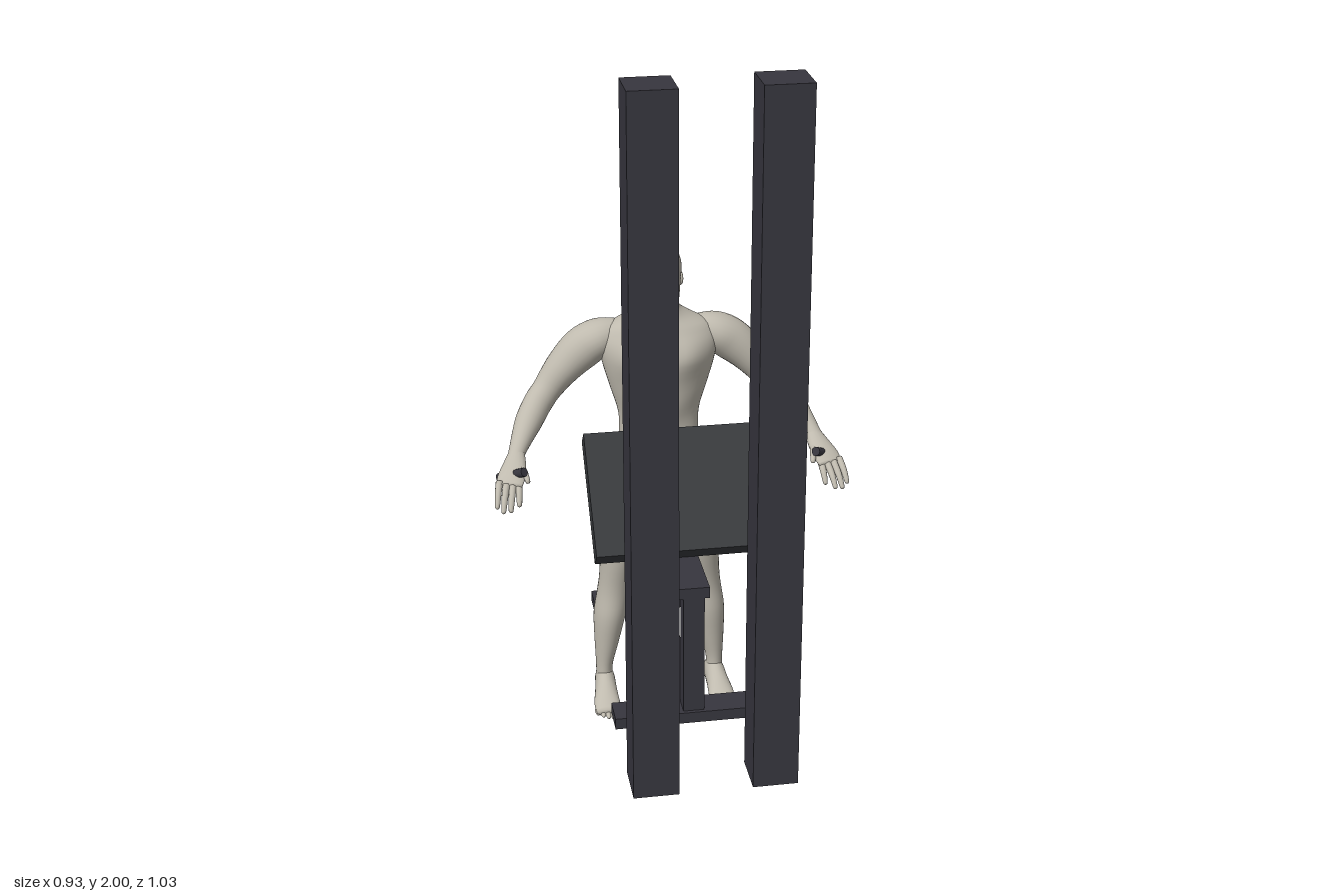
import * as THREE from 'three';

const V = (x, y, z) => new THREE.Vector3(x, y, z);
const mat = (name, color, side = THREE.FrontSide) => {
  const m = new THREE.MeshStandardMaterial({ color, side });
  m.name = name;
  return m;
};

// Smooth skin through stations [x, y, z, widthRadius, depthRadius].
// level: rings stay horizontal; otherwise they follow the path.
function loft(stations, { level = false, n = 24, steps = 4, shape = null } = {}) {
  const path = new THREE.CatmullRomCurve3(stations.map(s => V(s[0], s[1], s[2])));
  const size = new THREE.CatmullRomCurve3(stations.map((s, i) => V(s[3], s[4], i * 0.05)));
  const rows = (stations.length - 1) * steps;
  const pos = [], index = [];
  const add = p => { if (shape) shape(p); pos.push(p.x, p.y, p.z); };
  for (let i = 0; i <= rows; i++) {
    const c = path.getPoint(i / rows), r = size.getPoint(i / rows);
    const t = level ? V(0, 1, 0) : path.getTangent(i / rows);
    const u = level ? V(1, 0, 0) : V(0, 1, 0).cross(t).normalize();
    const v = t.clone().cross(u);
    for (let j = 0; j < n; j++) {
      const a = j / n * Math.PI * 2;
      add(c.clone().addScaledVector(u, Math.cos(a) * Math.max(r.x, 0.001))
        .addScaledVector(v, Math.sin(a) * Math.max(r.y, 0.001)));
    }
  }
  for (let i = 0; i < rows; i++) for (let j = 0; j < n; j++) {
    const a = i * n + j, b = i * n + (j + 1) % n;
    index.push(a, b, b + n, a, b + n, a + n);
  }
  add(path.getPoint(0));
  add(path.getPoint(1));
  const c0 = (rows + 1) * n, last = rows * n;
  for (let j = 0; j < n; j++) {
    const k = (j + 1) % n;
    index.push(c0, k, j, c0 + 1, last + j, last + k);
  }
  const g = new THREE.BufferGeometry();
  g.setAttribute('position', new THREE.Float32BufferAttribute(pos, 3));
  g.setIndex(index);
  g.computeVertexNormals();
  return g;
}

// Soft muscle and face relief: each bump [x, y, z, radius, dz] is mirrored in x
const relief = bumps => p => {
  let dz = 0;
  for (const [x, y, z, r, d] of bumps) {
    for (const s of x ? [1, -1] : [1]) dz += d * Math.exp(-p.distanceToSquared(V(x * s, y, z)) / (r * r));
  }
  p.z += dz;
};

export function createModel() {
  const model = new THREE.Group();
  model.name = 'exerciseMachineWithMan';
  const frame = mat('frame dark grey', 0x37363e);
  const padMat = mat('pad charcoal', 0x383a3d);
  const cloth = mat('shorts dark', 0x2d2d33);
  const skin = mat('skin pale grey', 0xbfbaae);
  const wheelMat = mat('pulley light grey', 0xc8c4b8);

  const put = (parent, name, geo, m) => {
    const mesh = new THREE.Mesh(geo, m);
    mesh.name = name;
    parent.add(mesh);
    return mesh;
  };
  // Box from its limits on each axis
  const box = (parent, name, m, x0, x1, y0, y1, z0, z1) => {
    const b = put(parent, name, new THREE.BoxGeometry(x1 - x0, y1 - y0, z1 - z0), m);
    b.position.set((x0 + x1) / 2, (y0 + y1) / 2, (z0 + z1) / 2);
    return b;
  };
  const rod = (parent, name, m, a, b, r) => {
    const c = put(parent, name, new THREE.CylinderGeometry(r, r, a.distanceTo(b), 12), m);
    c.position.copy(a).lerp(b, 0.5);
    c.quaternion.setFromUnitVectors(V(0, 1, 0), b.clone().sub(a).normalize());
    return c;
  };
  const ball = (parent, name, m, p, rx, ry, rz) => {
    const b = put(parent, name, new THREE.SphereGeometry(1, 14, 10), m);
    b.position.set(...p);
    b.scale.set(rx, ry, rz);
    return b;
  };

  // Bench frame
  const bench = new THREE.Group();
  bench.name = 'bench';
  model.add(bench);
  box(bench, 'baseBeam', frame, -0.027, 0.027, 0.251, 0.279, -0.515, 0.15);
  box(bench, 'frontFoot', frame, -0.204, 0.204, 0.25, 0.28, 0.12, 0.2);
  box(bench, 'rearFoot', frame, -0.18, 0.18, 0.25, 0.28, -0.482, -0.4);
  box(bench, 'frontPost', frame, -0.027, 0.027, 0.28, 0.61, 0.14, 0.19);
  box(bench, 'padArm', frame, -0.04, 0.04, 0.605, 0.635, 0.01, 0.19);
  box(bench, 'seatPost', frame, -0.027, 0.027, 0.28, 0.61, -0.42, -0.37);
  box(bench, 'seat', frame, -0.13, 0.13, 0.61, 0.67, -0.508, -0.265);
  const pad = put(bench, 'slopedPad', new THREE.BoxGeometry(0.456, 0.335, 0.058), padMat);
  pad.position.set(0, 0.773, -0.078);
  pad.rotation.x = -Math.PI / 4;

  // Towers and pulleys
  for (const s of [1, -1]) {
    const tower = new THREE.Group();
    tower.name = s > 0 ? 'leftTower' : 'rightTower';
    model.add(tower);
    box(tower, 'column', frame, s * 0.147 - 0.056, s * 0.147 + 0.056, 0.25, 2, 0.4, 0.512);
    for (const e of [1, -1]) {
      const x = s * 0.147 + e * 0.0135;
      box(tower, 'pulleyBracket', frame, x - 0.0025, x + 0.0025, 0.458, 0.495, 0.34, 0.402);
    }
    const wheel = put(tower, 'pulleyWheel', new THREE.CylinderGeometry(0.036, 0.036, 0.02, 28), wheelMat);
    wheel.rotation.z = Math.PI / 2;
    wheel.position.set(s * 0.147, 0.477, 0.36);
  }
  rod(model, 'cable', frame, V(0.147, 0.505, 0.338), V(0.147, 0.635, 0.155), 0.002);
  rod(model, 'cableEnd', frame, V(0.147, 0.625, 0.15), V(0.147, 0.642, 0.16), 0.004);

  // Torso and neck
  const man = new THREE.Group();
  man.name = 'man';
  model.add(man);
  put(man, 'torso', loft([
    [0, 0.76, -0.375, 0.115, 0.075], [0, 0.82, -0.378, 0.108, 0.068], [0, 0.88, -0.381, 0.11, 0.068],
    [0, 0.95, -0.38, 0.13, 0.077], [0, 1.03, -0.38, 0.152, 0.082], [0, 1.08, -0.385, 0.158, 0.078],
    [0, 1.12, -0.392, 0.14, 0.066], [0, 1.148, -0.395, 0.09, 0.054], [0, 1.172, -0.39, 0.058, 0.049],
    [0, 1.21, -0.375, 0.05, 0.047], [0, 1.24, -0.365, 0.046, 0.044],
  ], {
    level: true, n: 48, shape: relief([
      [0.07, 1.05, -0.305, 0.05, 0.016], [0, 1.05, -0.29, 0.022, -0.008], [0.035, 0.9, -0.31, 0.04, 0.006],
      [0.075, 1.06, -0.455, 0.055, -0.013], [0, 0.95, -0.46, 0.03, 0.009], [0, 1.05, -0.465, 0.03, 0.007],
    ]),
  }), skin);

  // Head
  put(man, 'head', loft([
    [0, 1.166, -0.313, 0.012, 0.016], [0, 1.174, -0.315, 0.032, 0.037], [0, 1.2, -0.335, 0.046, 0.059],
    [0, 1.23, -0.345, 0.051, 0.07], [0, 1.27, -0.352, 0.055, 0.078], [0, 1.3, -0.353, 0.057, 0.08],
    [0, 1.327, -0.354, 0.051, 0.072], [0, 1.346, -0.355, 0.037, 0.052], [0, 1.357, -0.356, 0.017, 0.023],
    [0, 1.36, -0.356, 0.002, 0.002],
  ], {
    level: true, n: 48, steps: 5, shape: relief([
      [0.022, 1.266, -0.28, 0.014, -0.011], [0.02, 1.287, -0.28, 0.014, 0.004],
      [0, 1.183, -0.28, 0.018, 0.006], [0.034, 1.22, -0.295, 0.016, -0.005],
    ]),
  }), skin);
  put(man, 'nose', loft([
    [0, 1.278, -0.279, 0.006, 0.008], [0, 1.255, -0.274, 0.008, 0.012],
    [0, 1.237, -0.272, 0.013, 0.014], [0, 1.229, -0.276, 0.006, 0.007],
  ], { level: true, n: 14 }), skin);
  for (const y of [1.213, 1.206]) ball(man, 'lip', skin, [0, y, -0.281], 0.019, 0.004, 0.009);

  // Shorts body
  put(man, 'shortsBody', loft([
    [0, 0.635, -0.375, 0.06, 0.06], [0, 0.66, -0.375, 0.125, 0.076], [0, 0.72, -0.376, 0.139, 0.08],
    [0, 0.77, -0.376, 0.128, 0.078], [0, 0.808, -0.377, 0.115, 0.073],
  ], {
    level: true, n: 40, shape: relief([[0.06, 0.7, -0.45, 0.055, -0.013], [0, 0.71, -0.455, 0.02, 0.01]]),
  }), cloth);

  for (const s of [1, -1]) {
    const side = s > 0 ? 'left' : 'right';
    const limb = (name, st, m, o) => put(man, side + name, loft(st.map(([x, ...r]) => [x * s, ...r]), o), m);

    // Leg and shorts sleeve
    limb('ShortsLeg', [
      [0.086, 0.632, -0.373, 0.077, 0.079], [0.083, 0.67, -0.375, 0.078, 0.08], [0.07, 0.74, -0.376, 0.066, 0.073],
    ], cloth, { level: true });
    limb('Leg', [
      [0.157, 0.035, -0.388, 0.026, 0.034], [0.158, 0.09, -0.388, 0.023, 0.031], [0.15, 0.17, -0.388, 0.034, 0.042],
      [0.14, 0.26, -0.389, 0.045, 0.055], [0.13, 0.33, -0.386, 0.045, 0.051], [0.123, 0.38, -0.38, 0.046, 0.05],
      [0.113, 0.45, -0.376, 0.053, 0.06], [0.1, 0.54, -0.373, 0.065, 0.07], [0.088, 0.63, -0.373, 0.072, 0.073],
      [0.082, 0.7, -0.375, 0.066, 0.07],
    ], skin, { level: true, n: 28 });

    // Foot and toes
    limb('Foot', [
      [0.155, 0.026, -0.43, 0.012, 0.014], [0.156, 0.03, -0.415, 0.025, 0.03], [0.157, 0.044, -0.385, 0.028, 0.044],
      [0.16, 0.035, -0.34, 0.031, 0.034], [0.163, 0.021, -0.295, 0.036, 0.021], [0.164, 0.013, -0.258, 0.032, 0.012],
    ], skin, { shape: p => { p.y = Math.max(p.y, 0); } });
    for (let i = 0; i < 5; i++) {
      const r = i ? 0.0075 : 0.01;
      ball(man, side + 'Toe', skin, [s * (0.138 + 0.0135 * i), r, -0.25 - 0.003 * i * i * 0.6], r, r, 0.021);
    }

    // Arm
    limb('Arm', [
      [0.1, 1.095, -0.405, 0.035, 0.04], [0.155, 1.085, -0.405, 0.056, 0.052], [0.2, 1.058, -0.405, 0.056, 0.057],
      [0.25, 1.012, -0.4, 0.05, 0.049], [0.298, 0.955, -0.387, 0.038, 0.04], [0.325, 0.925, -0.368, 0.037, 0.041],
      [0.355, 0.892, -0.325, 0.036, 0.038], [0.38, 0.86, -0.28, 0.028, 0.028], [0.397, 0.836, -0.245, 0.022, 0.02],
      [0.403, 0.826, -0.228, 0.024, 0.017],
    ], skin);

    // Hand
    limb('Palm', [
      [0.395, 0.84, -0.25, 0.02, 0.018], [0.406, 0.818, -0.213, 0.031, 0.017], [0.418, 0.8, -0.178, 0.037, 0.014],
      [0.425, 0.786, -0.155, 0.033, 0.009],
    ], skin, { n: 16 });
    const fingers = [
      [V(0.45, 0.795, -0.168), V(0.462, 0.745, -0.112)], [V(0.433, 0.79, -0.158), V(0.447, 0.736, -0.1)],
      [V(0.416, 0.788, -0.156), V(0.428, 0.738, -0.099)], [V(0.4, 0.79, -0.162), V(0.404, 0.745, -0.115)],
      [V(0.39, 0.817, -0.208), V(0.376, 0.795, -0.15)],
    ];
    for (const [a, b] of fingers) {
      const m = a.clone().lerp(b, 0.55).add(V(0, 0.006, 0));
      const e = a.clone().lerp(b, 0.95);
      limb('Finger', [
        [a.x, a.y, a.z, 0.0095, 0.0095], [m.x, m.y, m.z, 0.0085, 0.0085],
        [e.x, e.y, e.z, 0.006, 0.006], [b.x, b.y, b.z, 0.002, 0.002],
      ], skin, { n: 10, steps: 3 });
    }
    rod(model, side + 'Handle', frame, V(s * 0.446, 0.782, -0.222), V(s * 0.385, 0.822, -0.16), 0.012);

    // Ear
    ball(man, side + 'Ear', skin, [s * 0.056, 1.256, -0.362], 0.007, 0.02, 0.013).rotation.y = s * 0.3;
  }
  return model;
}
